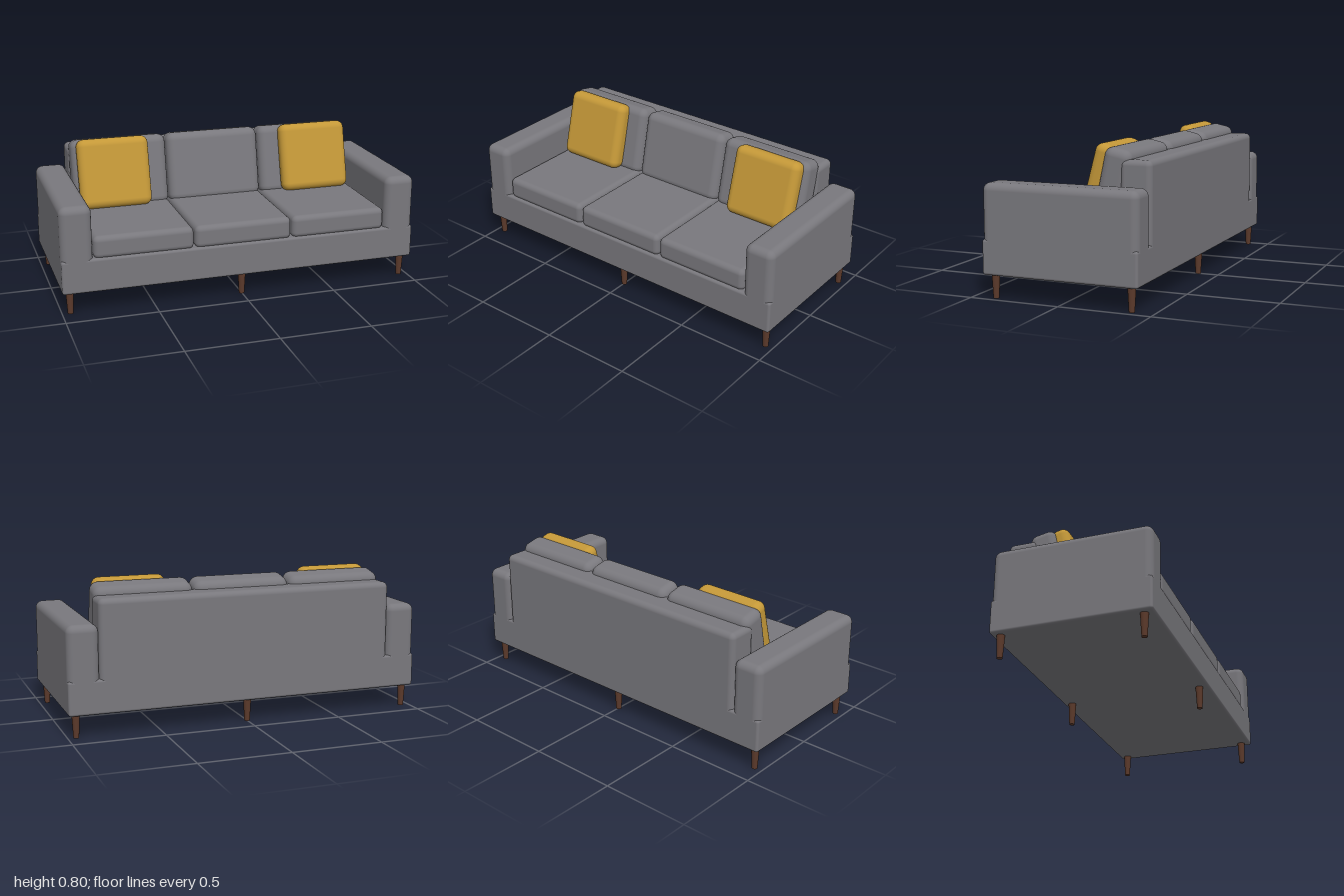
import * as THREE from 'three';
import { RoundedBoxGeometry } from 'three/addons/geometries/RoundedBoxGeometry.js';

export function createModel() {
  const sofa = new THREE.Group();
  sofa.name = 'sofa';

  const makeMaterial = (name, color) => {
    const m = new THREE.MeshStandardMaterial({ color });
    m.name = name;
    return m;
  };
  const fabric = makeMaterial('grey fabric', 0x79787d);
  const mustard = makeMaterial('mustard fabric', 0xc49838);
  const wood = makeMaterial('dark wood', 0x5c3a2b);

  // Soft-edged block: size [w, h, d], centre [x, y, z], backward tilt in radians
  const block = (name, size, centre, radius, material, tilt = 0) => {
    const mesh = new THREE.Mesh(new RoundedBoxGeometry(...size, 5, radius), material);
    mesh.name = name;
    mesh.position.set(...centre);
    mesh.rotation.x = -tilt;
    sofa.add(mesh);
  };

  // Frame: base and backrest
  block('base', [2, 0.185, 0.86], [0, 0.2175, 0], 0.014, fabric);
  block('backrest', [1.66, 0.55, 0.17], [0, 0.455, -0.345], 0.03, fabric);

  // Arms and throw pillows, mirrored
  for (const [side, s] of [['left', 1], ['right', -1]]) {
    block(side + 'Arm', [0.17, 0.43, 0.86], [s * 0.915, 0.385, 0], 0.04, fabric);
    block(side + 'Pillow', [0.405, 0.39, 0.1], [s * 0.598, 0.61, -0.114], 0.042, mustard, 0.26);
  }

  // Three seat cushions, each with a leaning back cushion
  for (const i of [-1, 0, 1]) {
    block('seatCushion', [0.545, 0.125, 0.7], [i * 0.553, 0.3625, 0.07], 0.03, fabric);
    block('backCushion', [0.545, 0.4, 0.15], [i * 0.553, 0.584, -0.208], 0.045, fabric, 0.21);
  }

  // Six tapered legs
  const legGeometry = new THREE.CylinderGeometry(0.022, 0.015, 0.13, 20);
  for (const x of [-0.955, 0, 0.955]) {
    for (const z of [0.375, -0.382]) {
      const leg = new THREE.Mesh(legGeometry, wood);
      leg.name = 'leg';
      leg.position.set(x, 0.065, z);
      sofa.add(leg);
    }
  }
  return sofa;
}
